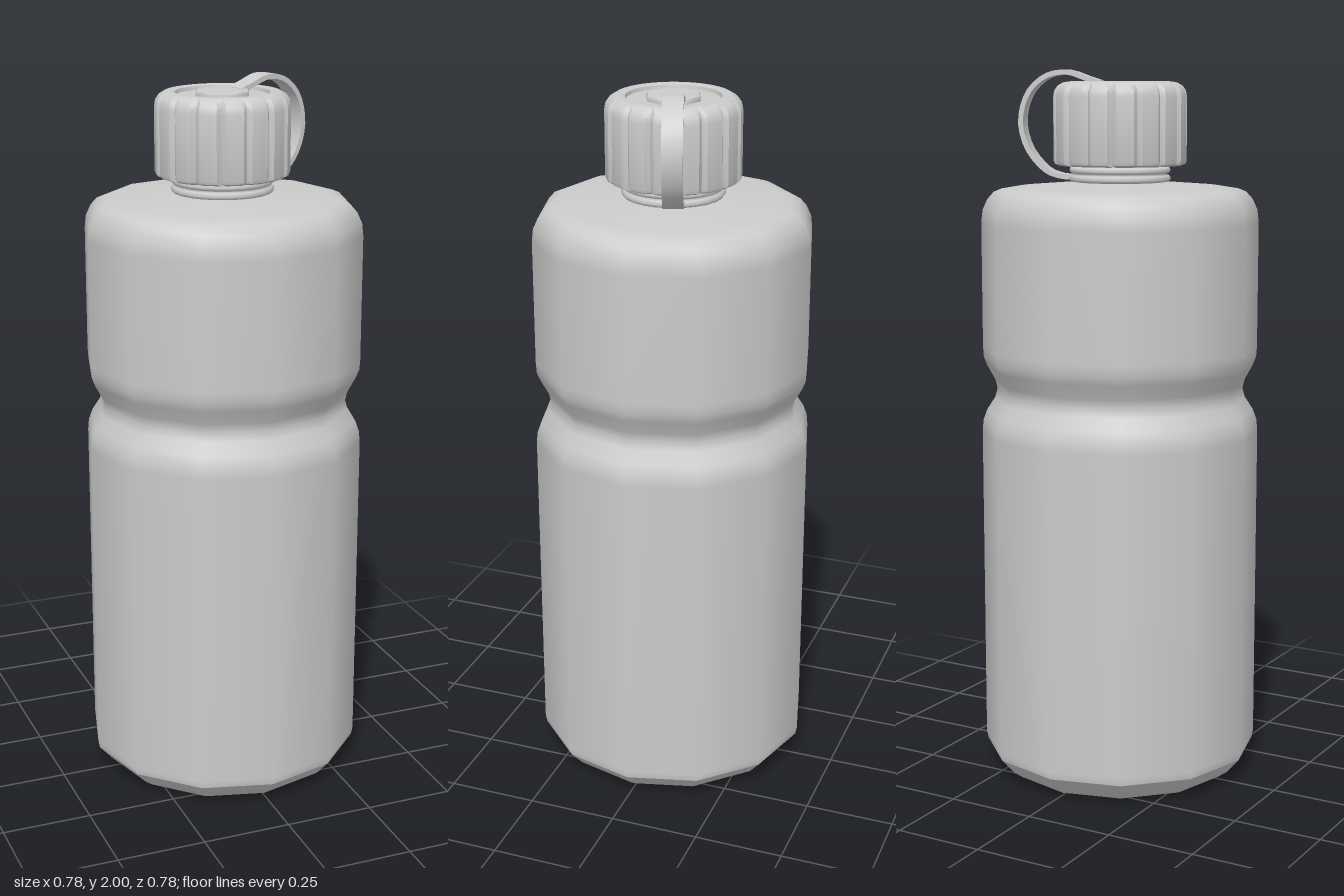
import * as THREE from 'three';
import { mergeVertices, toCreasedNormals } from 'three/addons/utils/BufferGeometryUtils.js';

const material = new THREE.MeshStandardMaterial({ color: 0xcccccc, side: THREE.DoubleSide });
const points = (list) => list.map(([x, y]) => new THREE.Vector2(x, y));

function mesh(name, geometry) {
  const m = new THREE.Mesh(geometry, material);
  m.name = name;
  return m;
}

const lathe = (name, profile, sides) => mesh(name, new THREE.LatheGeometry(points(profile), sides));

// Lathe whose vertices are moved by rule(vertex, radius, angle, column)
function carvedLathe(name, profile, segments, crease, rule) {
  let g = new THREE.LatheGeometry(points(profile), segments);
  const pos = g.attributes.position;
  const v = new THREE.Vector3();
  for (let i = 0; i < pos.count; i++) {
    v.fromBufferAttribute(pos, i);
    const column = Math.floor(i / profile.length) % segments;
    rule(v, Math.hypot(v.x, v.z), (column / segments) * Math.PI * 2, column);
    pos.setXYZ(i, v.x, v.y, v.z);
  }
  g.deleteAttribute('uv');
  g.deleteAttribute('normal');
  g = mergeVertices(g, 1e-5);
  return mesh(name, toCreasedNormals(g, crease));
}

export function createModel() {
  const model = new THREE.Group();
  model.name = 'bottle';
  const SIDES = 12;

  // Twelve-sided body with a pinched waist and rounded shoulder
  model.add(lathe('body', [
    [0.388, 0.068], [0.392, 0.09], [0.392, 0.99], [0.389, 1.02], [0.378, 1.05],
    [0.355, 1.085], [0.348, 1.11], [0.354, 1.135], [0.376, 1.175], [0.386, 1.2],
    [0.388, 1.23], [0.388, 1.58], [0.384, 1.615], [0.37, 1.645], [0.352, 1.665],
    [0.33, 1.674], [0.3, 1.678], [0.15, 1.69], [0.12, 1.692],
  ], SIDES));

  // Base: follows the twelve sides, with a recessed centre and radial grooves
  model.add(carvedLathe('base', [
    [0, 0.04], [0.11, 0.04], [0.135, 0.034], [0.16, 0.022], [0.22, 0.012],
    [0.28, 0.003], [0.305, 0], [0.325, 0.007], [0.35, 0.025], [0.388, 0.068],
  ], SIDES * 8, 0.7, (v, r, angle, column) => {
    const step = (Math.PI * 2) / SIDES;
    const k = Math.cos(step / 2) / Math.cos((angle % step) - step / 2);
    v.x *= k;
    v.z *= k;
    if (column % 8 === 0 && r > 0.15 && r < 0.31) v.y += 0.016;
  }));

  // Neck and the tether ring around it
  model.add(lathe('neck', [[0.122, 1.68], [0.122, 1.76]], 24));
  model.add(lathe('tetherRing', [
    [0.12, 1.692], [0.137, 1.694], [0.142, 1.702], [0.137, 1.711], [0.128, 1.714],
    [0.137, 1.718], [0.141, 1.725], [0.137, 1.733], [0.12, 1.736],
  ], 24));

  // Screw cap with sixteen vertical grip grooves
  model.add(carvedLathe('cap', [
    [0.12, 1.738], [0.172, 1.738], [0.182, 1.743], [0.185, 1.752], [0.185, 1.925],
    [0.182, 1.942], [0.173, 1.955], [0.158, 1.964], [0.14, 1.967], [0.129, 1.963],
    [0.127, 1.953], [0, 1.953],
  ], 16 * 6, 0.7, (v, r, angle, column) => {
    if (column % 6 === 0 && r > 0.172) {
      v.x *= 1 - 0.01 / r;
      v.z *= 1 - 0.01 / r;
    }
  }));

  // Eight-sided button that holds the strap on top of the cap
  model.add(lathe('capButton', [
    [0.077, 1.95], [0.077, 1.963], [0.073, 1.967], [0.07, 1.968], [0, 1.968],
  ], 8));

  // Strap looping from the button down to the tether ring
  const path = new THREE.SplineCurve(points([
    [0.05, 1.962], [0.09, 1.975], [0.145, 1.992], [0.205, 1.981], [0.255, 1.935],
    [0.276, 1.86], [0.258, 1.785], [0.21, 1.727], [0.165, 1.708], [0.13, 1.706],
  ]));
  const outer = [], inner = [];
  for (let i = 0; i <= 28; i++) {
    const p = path.getPoint(i / 28);
    const t = path.getTangent(i / 28);
    const side = new THREE.Vector2(-t.y, t.x).multiplyScalar(0.007);
    outer.push(p.clone().add(side));
    inner.unshift(p.clone().sub(side));
  }
  const strapGeometry = new THREE.ExtrudeGeometry(new THREE.Shape([...outer, ...inner]), {
    depth: 0.055, bevelEnabled: false,
  });
  strapGeometry.translate(0, 0, -0.0325);
  const strap = mesh('strap', toCreasedNormals(strapGeometry, 0.6));
  strap.rotation.y = 0.32;
  model.add(strap);

  return model;
}
